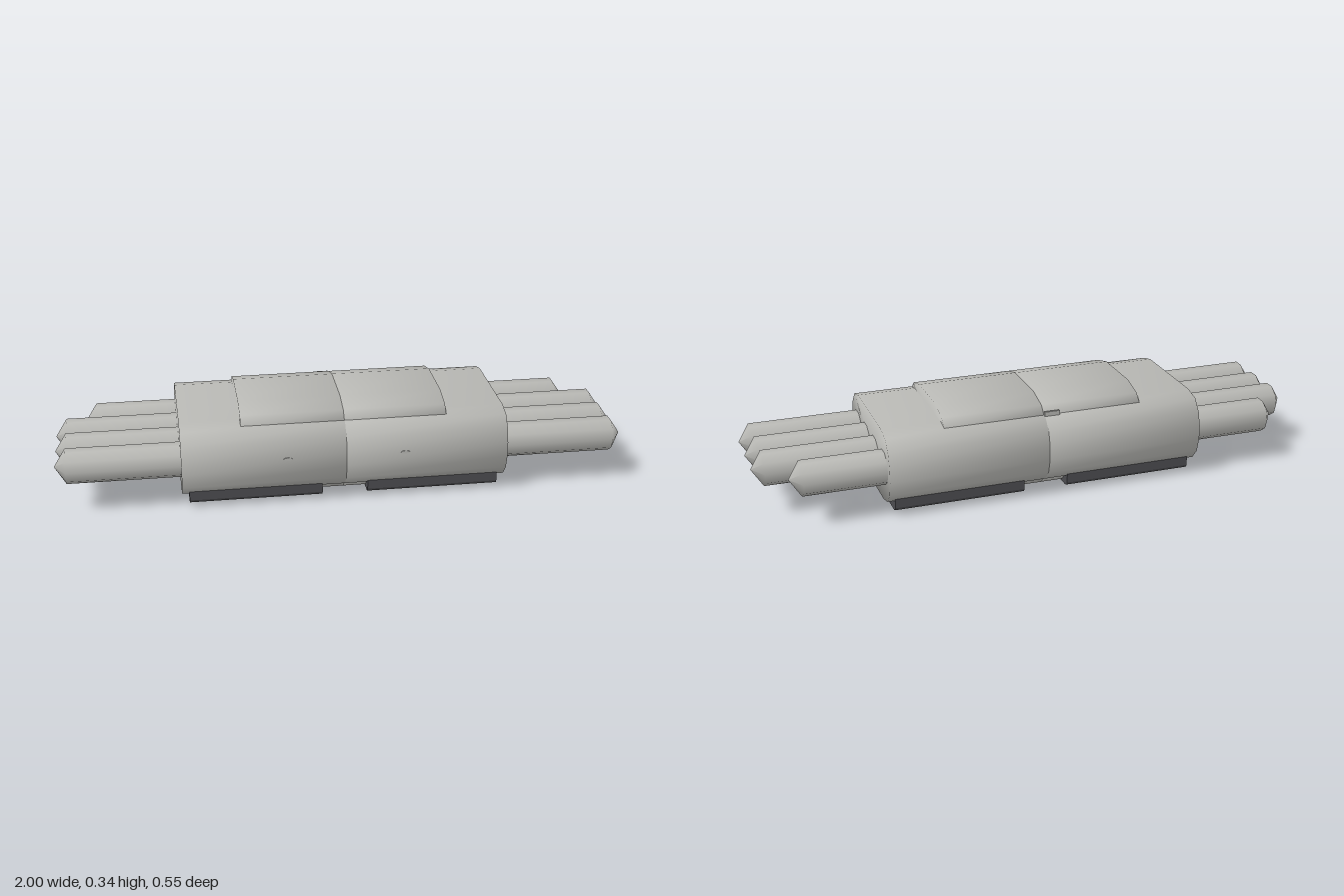
import * as THREE from 'three';

const shellMat = new THREE.MeshStandardMaterial({ color: 0xb8b8b4 });
shellMat.name = 'light grey';
const darkMat = new THREE.MeshStandardMaterial({ color: 0x4c4c50 });
darkMat.name = 'dark grey';

// Closed prism along x. side: [z, y] points of the +z half, top to bottom.
function prism(side, x0, x1, smooth) {
  const mirrored = side.map(([z, y]) => [-z, y]).reverse();
  const ring = [...mirrored, ...side];
  const n = ring.length;
  const midY = (side[0][1] + side[side.length - 1][1]) / 2;
  const pos = [];
  const index = [];
  for (const x of [x0, x1]) for (const [z, y] of ring) pos.push(x, y, z);
  pos.push(x0, midY, 0, x1, midY, 0);
  for (let i = 0; i < n; i++) {
    const j = (i + 1) % n;
    index.push(n + i, i, j, n + i, j, n + j);
    index.push(2 * n, j, i, 2 * n + 1, n + i, n + j);
  }
  let geo = new THREE.BufferGeometry();
  geo.setAttribute('position', new THREE.Float32BufferAttribute(pos, 3));
  geo.setIndex(index);
  if (!smooth) geo = geo.toNonIndexed();
  geo.computeVertexNormals();
  return geo;
}

export function createModel() {
  const model = new THREE.Group();
  model.name = 'connectorBlock';
  const add = (name, geo, mat) => {
    const mesh = new THREE.Mesh(geo, mat);
    mesh.name = name;
    model.add(mesh);
    return mesh;
  };

  const bodySide = [[0.168, 0.299], [0.225, 0.285], [0.258, 0.245], [0.272, 0.195],
    [0.272, 0.145], [0.258, 0.093], [0.225, 0.055], [0.168, 0.041]];
  const plateSide = [[0.1, 0.338], [0.18, 0.317], [0.212, 0.285], [0.212, 0.055],
    [0.18, 0.023], [0.1, 0.002]];
  const bracketSide = [[0.232, 0.066], [0.232, 0.03], [0.226, 0.02], [0.212, 0.015]];

  for (const s of [1, -1]) {
    const label = s > 0 ? 'left' : 'right';
    const span = (a, b) => (s > 0 ? [a, b] : [-b, -a]);

    // Rounded shell halves meeting at the centre seam
    add(label + 'Shell', prism(bodySide, ...span(0, 0.57), true), shellMat);
    // Core showing as raised plates above and below the shell
    add(label + 'Core', prism(plateSide, ...span(0, 0.36), true), shellMat);
    // Dark bracket under each half
    add(label + 'Bracket', prism(bracketSide, ...span(0.08, 0.545), false), darkMat);

    // Four pointed rods, the rear one shorter
    [0.1875, 0.0625, -0.0625, -0.1875].forEach((z, i) => {
      const tip = i === 3 ? 0.895 : 1;
      const profile = [[0.0615, 0.5], [0.0615, tip - 0.04], [0, tip]]
        .map(([r, y]) => new THREE.Vector2(r, y));
      const geo = new THREE.LatheGeometry(profile, 10).rotateZ(-Math.PI / 2);
      const rod = add(label + 'Rod' + (i + 1), geo, shellMat);
      rod.position.set(0, 0.17, z);
      if (s < 0) rod.rotation.y = Math.PI;
    });

    // Small flattened pin on the front face
    const pin = new THREE.CylinderGeometry(0.016, 0.016, 0.008, 8).rotateX(Math.PI / 2);
    pin.scale(1, 0.35, 1);
    add(label + 'Pin', pin, shellMat).position.set(s * 0.205, 0.185, 0.271);
  }

  // Narrow latch on the rear shoulder of the core
  add('rearLatch', new THREE.BoxGeometry(0.055, 0.03, 0.008), shellMat)
    .position.set(-0.0275, 0.288, -0.213);

  return model;
}
